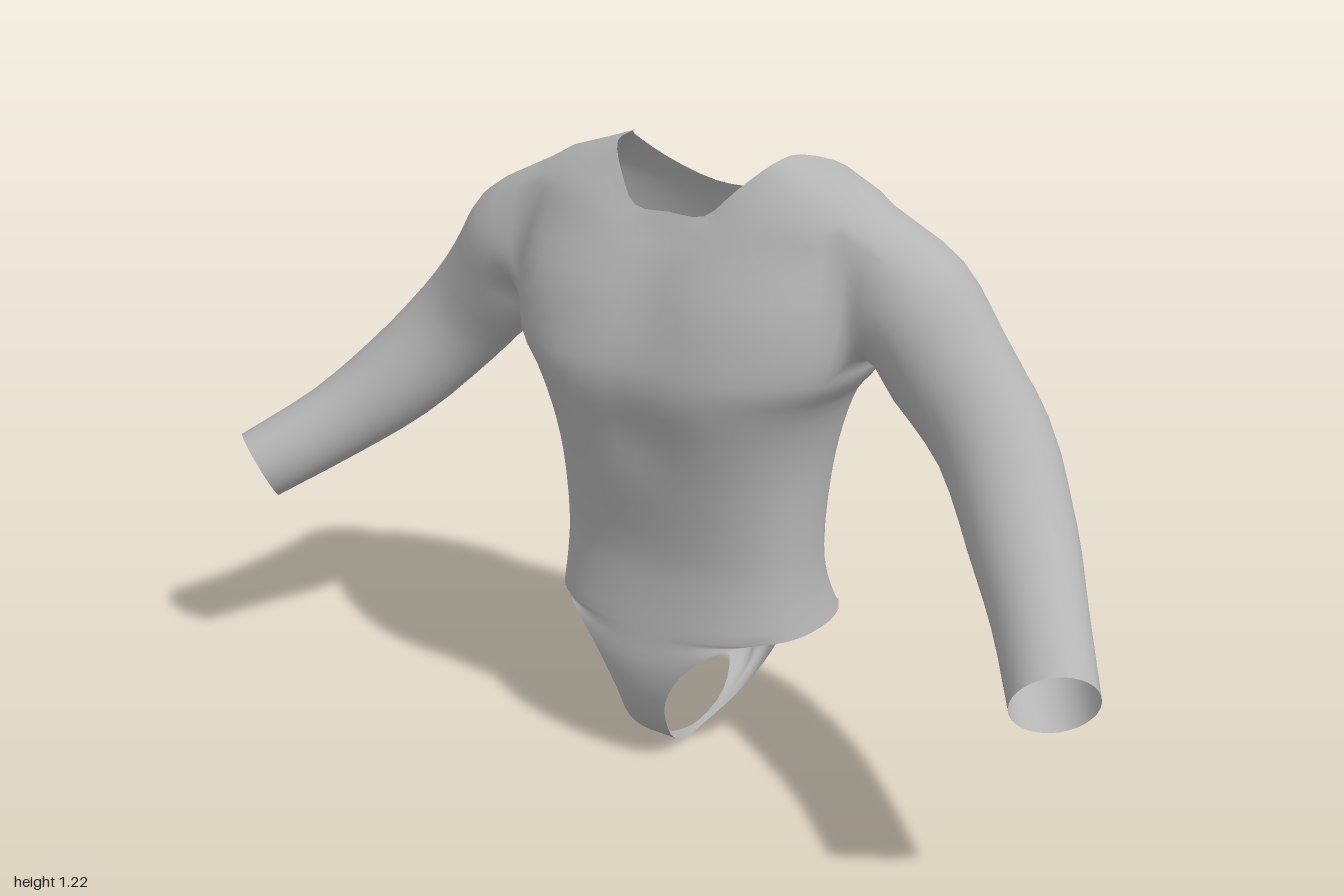
import * as THREE from 'three';
import { mergeVertices } from 'three/addons/utils/BufferGeometryUtils.js';

const V = (x, y, z) => new THREE.Vector3(x, y, z);
const mirror = (p) => V(-p.x, p.y, p.z);
const SUB = 3;          // fine steps between control points
const COLS = 16 * SUB;  // columns around the torso, from front centre towards +x

// Smooth curve through control points, sampled at SUB steps per span
function smooth(points, closed = false) {
  const curve = new THREE.CatmullRomCurve3(points, closed);
  const n = (closed ? points.length : points.length - 1) * SUB;
  return Array.from({ length: closed ? n : n + 1 }, (_, i) => curve.getPoint(i / n));
}

// Smooth a stack of control sections lengthwise; result is indexed [section][point]
function loft(sections) {
  const lines = sections[0].map((_, k) => smooth(sections.map((s) => s[k])));
  return lines[0].map((_, i) => lines.map((line) => line[i]));
}

// Half rows run from front centre round the +x side to back centre
function ovalRow([y, w, front, back]) {
  const c = (front + back) / 2, d = (front - back) / 2;
  return Array.from({ length: 9 }, (_, j) => {
    const t = (j / 8) * Math.PI, co = Math.cos(t);
    const dent = j === 0 && y > 0.65 ? -0.015 : j === 8 ? 0.014 : 0;
    return V(j % 8 ? w * Math.sin(t) ** 0.8 : 0, y,
      c + d * Math.sign(co) * Math.abs(co) ** 0.8 + dent);
  });
}

function torsoRows() {
  // height, half width, front z, back z
  const lower = [
    [0.303, 0.29, 0.138, -0.268], [0.37, 0.278, 0.128, -0.232], [0.45, 0.272, 0.122, -0.216],
    [0.6, 0.278, 0.142, -0.24], [0.7, 0.295, 0.164, -0.264], [0.78, 0.325, 0.181, -0.28],
    [0.84, 0.372, 0.178, -0.289],
  ].map(ovalRow);
  // chest, shoulder and neckline
  const upper = [
    [[0, 0.95, 0.12], [0.13, 0.95, 0.135], [0.27, 0.95, 0.11], [0.37, 0.96, 0.03], [0.4, 0.96, -0.08],
      [0.375, 0.96, -0.19], [0.28, 0.95, -0.265], [0.14, 0.95, -0.297], [0, 0.95, -0.283]],
    [[0, 1.03, 0.083], [0.12, 1.04, 0.087], [0.25, 1.06, 0.06], [0.36, 1.06, 0.01], [0.4, 1.08, -0.08],
      [0.37, 1.06, -0.19], [0.27, 1.04, -0.255], [0.13, 1.03, -0.285], [0, 1.03, -0.272]],
    [[0, 1.07, 0.06], [0.11, 1.08, 0.062], [0.22, 1.12, 0.035], [0.34, 1.128, -0.01], [0.38, 1.145, -0.09],
      [0.35, 1.13, -0.18], [0.265, 1.11, -0.235], [0.13, 1.07, -0.273], [0, 1.07, -0.265]],
    [[0, 1.11, 0.04], [0.08, 1.112, 0.037], [0.13, 1.16, 0.01], [0.178, 1.208, -0.04], [0.19, 1.215, -0.11],
      [0.245, 1.19, -0.18], [0.2, 1.14, -0.232], [0.1, 1.102, -0.256], [0, 1.1, -0.256]],
  ].map((row) => row.map((p) => V(...p)));
  const full = [...lower, ...upper].map((half) =>
    smooth([...half, ...half.slice(1, 8).reverse().map(mirror)], true));
  return loft(full);
}

// Armhole spans these torso rows and columns
const HOLE = { r0: 6 * SUB, r1: 9 * SUB, c0: 3 * SUB, c1: 5 * SUB };

// Armhole edge: from the armpit up the front, over the shoulder and down the back
function armholeLoop(rows) {
  const { r0, r1, c0, c1 } = HOLE, mid = (c0 + c1) / 2, loop = [];
  for (let c = mid; c > c0; c--) loop.push(rows[r0][c]);
  for (let r = r0; r < r1; r++) loop.push(rows[r][c0]);
  for (let c = c0; c < c1; c++) loop.push(rows[r1][c]);
  for (let r = r1; r > r0; r--) loop.push(rows[r][c1]);
  for (let c = c1; c > mid; c--) loop.push(rows[r0][c]);
  return loop;
}

function sleeveRings(rows) {
  const edge = armholeLoop(rows), n = edge.length;
  // centre line x, y, z and radius
  const path = [
    [0.36, 1.0, -0.085, 0.13], [0.455, 0.968, -0.087, 0.124], [0.53, 0.875, -0.088, 0.115],
    [0.635, 0.76, -0.072, 0.106], [0.742, 0.635, 0.015, 0.097], [0.835, 0.545, 0.12, 0.083],
    [0.932, 0.466, 0.25, 0.076],
  ];
  const rings = path.slice(1).map(([x, y, z, r], i) => {
    const next = path[Math.min(i + 2, path.length - 1)], prev = path[i];
    const d = V(next[0] - prev[0], next[1] - prev[1], next[2] - prev[2]).normalize();
    const u = V(0, 1, 0).addScaledVector(d, -d.y).normalize();
    const v = d.clone().cross(u);
    return edge.map((_, k) => {
      const a = (k / n) * Math.PI * 2;
      return V(x, y, z).addScaledVector(u, -r * Math.cos(a)).addScaledVector(v, r * Math.sin(a));
    });
  });
  return loft([edge, ...rings]).map((ring) => [...ring, ring[0]]);
}

// Panel from the front hem, under the crotch, up to the back hem
function gussetRows(rows) {
  const H = 8, ks = Array.from({ length: 2 * H + 1 }, (_, i) => i - H);
  // y, z, half width, edge rise, edge z shift, depth of the rear cleft
  const sections = [
    [0.27, 0.143, 0.175, 0.015, -0.025, 0], [0.22, 0.15, 0.1, 0, -0.01, 0],
    [0.15, 0.141, 0.06, 0, -0.005, 0], [0.08, 0.11, 0.048, 0, 0, 0],
    [0.03, 0.06, 0.032, 0, 0, 0], [0.005, 0, 0.018, 0, 0, 0],
    [0.001, -0.07, 0.008, 0, 0, 0], [0.03, -0.185, 0.018, 0, 0.005, 0],
    [0.08, -0.26, 0.042, 0, 0.025, 0.01], [0.15, -0.287, 0.085, 0.01, 0.03, 0.022],
    [0.21, -0.288, 0.15, 0.01, 0.02, 0.027], [0.262, -0.272, 0.21, 0.01, 0.02, 0.025],
  ].map(([y, z, w, dy, dz, cleft]) => ks.map((k) => {
    const s = k / H;
    return V(s * w, y + dy * s * s, z + dz * s * s - cleft * Math.sin(Math.PI * Math.abs(s)));
  }));
  const front = ks.map((k) => rows[0][(k + COLS) % COLS]);
  const back = ks.map((k) => rows[0][COLS / 2 - k]);
  return loft([front, ...sections, back]);
}

export function createModel() {
  const fabric = new THREE.MeshStandardMaterial({ color: 0xb4b4b4, side: THREE.DoubleSide });
  fabric.name = 'grey fabric';

  const positions = [], parts = [];
  function addGrid(name, grid, flip, skip = () => false) {
    const start = positions.length / 3;
    for (let r = 0; r < grid.length - 1; r++) {
      for (let c = 0; c < grid[0].length - 1; c++) {
        if (skip(r, c)) continue;
        const q = [grid[r][c], grid[r][c + 1], grid[r + 1][c + 1], grid[r + 1][c]];
        if (flip) q.reverse();
        for (const i of [0, 1, 2, 0, 2, 3]) positions.push(q[i].x, q[i].y, q[i].z);
      }
    }
    parts.push({ name, start, count: positions.length / 3 - start });
  }

  const rows = torsoRows();
  const inHole = (r, c) => r >= HOLE.r0 && r < HOLE.r1 && c >= HOLE.c0 && c < HOLE.c1;
  addGrid('torso', rows.map((row) => [...row, row[0]]), false,
    (r, c) => inHole(r, c) || inHole(r, COLS - 1 - c));
  const sleeve = sleeveRings(rows);
  addGrid('leftSleeve', sleeve, true);
  addGrid('rightSleeve', sleeve.map((ring) => ring.map(mirror)), false);
  addGrid('gusset', gussetRows(rows), true);

  // Weld everything so shading runs smoothly across the seams, then share it between parts
  const raw = new THREE.BufferGeometry();
  raw.setAttribute('position', new THREE.Float32BufferAttribute(positions, 3));
  const whole = mergeVertices(raw, 1e-4);
  whole.computeVertexNormals();

  const model = new THREE.Group();
  model.name = 'bodysuit';
  for (const { name, start, count } of parts) {
    const geometry = new THREE.BufferGeometry();
    geometry.setAttribute('position', whole.attributes.position);
    geometry.setAttribute('normal', whole.attributes.normal);
    geometry.setIndex(Array.from(whole.index.array.slice(start, start + count)));
    const mesh = new THREE.Mesh(geometry, fabric);
    mesh.name = name;
    model.add(mesh);
  }
  return model;
}
